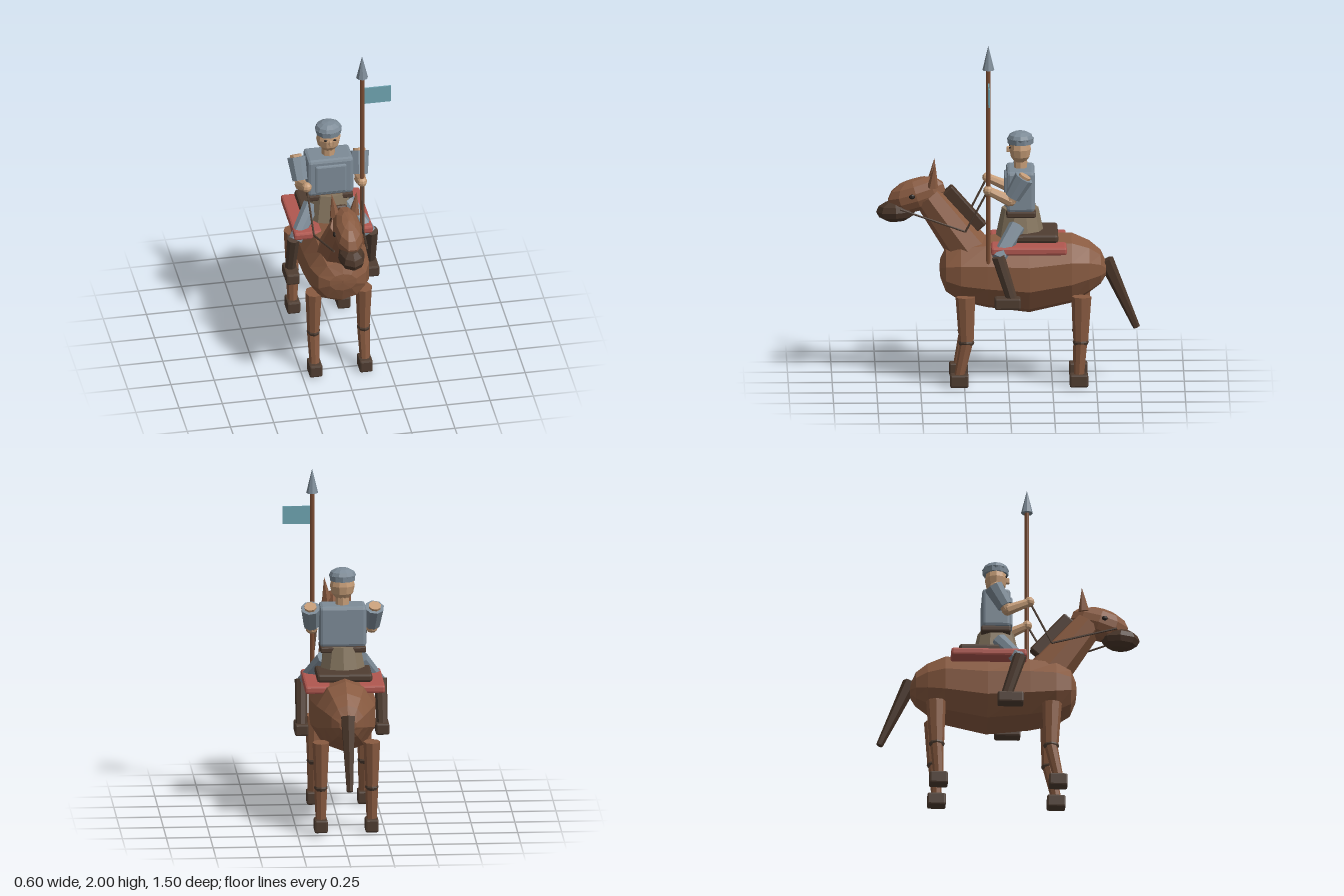
import * as THREE from 'three';
import { RoundedBoxGeometry } from 'three/addons/geometries/RoundedBoxGeometry.js';

const mat = (name, color) => {
  const m = new THREE.MeshStandardMaterial({ color });
  m.name = name;
  m.flatShading = true;
  return m;
};

export function createModel() {
  const coat = mat('chestnut coat', 0x885a40);
  const dark = mat('dark leather', 0x4f3d31);
  const hair = mat('dark mane', 0x4a3629);
  const steel = mat('steel', 0x7d8b97);
  const red = mat('red cloth', 0xb0574f);
  const skin = mat('skin', 0xc59c77);
  const tan = mat('tan cloth', 0x85755f);
  const wood = mat('lance wood', 0x7a4c32);
  const teal = mat('teal cloth', 0x6fa5b2);
  const black = mat('eye black', 0x28211d);
  teal.side = THREE.DoubleSide;

  const model = new THREE.Group();
  model.name = 'mountedLancer';
  // Horse and rider are symmetric about this group's own x = 0
  const core = new THREE.Group();
  core.name = 'horseAndRider';
  core.position.x = -0.03;
  model.add(core);

  const add = (name, geo, material, x = 0, y = 0, z = 0) => {
    const m = new THREE.Mesh(geo, material);
    m.name = name;
    m.position.set(x, y, z);
    core.add(m);
    return m;
  };
  // Box with a small chamfer
  const box = (name, material, w, h, d, x, y, z, bevel = 0.01) =>
    add(name, new RoundedBoxGeometry(w, h, d, 1, bevel), material, x, y, z);
  // Faceted ellipsoid
  const ball = (name, material, rx, ry, rz, x, y, z, seg = 8, rows = 6) =>
    add(name, new THREE.SphereGeometry(1, seg, rows).scale(rx, ry, rz), material, x, y, z);
  // Tapered prism running from a to b
  const beam = (name, material, a, b, ra, rb, sides = 8) => {
    const p = new THREE.Vector3(...a), q = new THREE.Vector3(...b);
    const dir = q.clone().sub(p);
    const m = add(name, new THREE.CylinderGeometry(rb, ra, dir.length(), sides), material);
    m.position.copy(p).add(q).multiplyScalar(0.5);
    m.quaternion.setFromUnitVectors(new THREE.Vector3(0, 1, 0), dir.normalize());
    return m;
  };
  // Skin over oval rings [z, bottom, top, halfWidth], front to back
  const loft = (rings, n) => {
    const pos = [], index = [];
    rings.forEach(([z, lo, hi, w], i) => {
      for (let j = 0; j < n; j++) {
        const t = (j / n) * Math.PI * 2;
        pos.push(Math.sin(t) * w, (lo + hi) / 2 + Math.cos(t) * (hi - lo) / 2, z);
        if (i === rings.length - 1) continue;
        const a = i * n + j, b = i * n + (j + 1) % n;
        index.push(a, b, a + n, b, b + n, a + n);
      }
    });
    const g = new THREE.BufferGeometry();
    g.setAttribute('position', new THREE.Float32BufferAttribute(pos, 3));
    g.setIndex(index);
    g.computeVertexNormals();
    return g;
  };

  // Horse trunk, neck and head
  add('horseBody', loft([
    [0.39, 0.66, 0.68, 0.005], [0.385, 0.61, 0.72, 0.08], [0.355, 0.53, 0.79, 0.145],
    [0.27, 0.47, 0.84, 0.18], [0.12, 0.435, 0.86, 0.19], [-0.12, 0.405, 0.865, 0.195],
    [-0.36, 0.46, 0.87, 0.175], [-0.46, 0.52, 0.825, 0.135], [-0.525, 0.57, 0.77, 0.095],
    [-0.555, 0.62, 0.7, 0.05], [-0.56, 0.65, 0.67, 0.005],
  ], 10), coat);
  beam('horseNeck', coat, [0, 0.76, 0.21], [0, 1.09, 0.455], 0.125, 0.088);
  ball('horseHead', coat, 0.085, 0.096, 0.175, 0, 1.095, 0.52, 10, 7).rotation.x = 0.3;
  ball('muzzle', hair, 0.077, 0.064, 0.112, 0, 1.0, 0.638, 8, 6).rotation.x = 0.05;
  const mane = box('mane', hair, 0.066, 0.3, 0.075, 0, 1.015, 0.25);
  mane.rotation.x = 0.72;
  beam('tail', hair, [0, 0.71, -0.555], [0, 0.315, -0.73], 0.044, 0.02, 6);

  for (const s of [-1, 1]) {
    const side = s > 0 ? 'left' : 'right';
    beam(side + 'Ear', coat, [s * 0.055, 1.15, 0.43], [s * 0.072, 1.287, 0.418], 0.032, 0.001, 6);
    ball(side + 'HorseEye', black, 0.01, 0.014, 0.018, s * 0.08, 1.1, 0.547);

    // Horse legs: [name, top z, knee z, hoof z]
    for (const [part, zt, zk, zh] of [['Front', 0.245, 0.24, 0.28], ['Hind', -0.415, -0.41, -0.4]]) {
      const x = s * 0.145, name = side + part;
      beam(name + 'UpperLeg', coat, [x, 0.53, zt], [x, 0.27, zk], 0.056, 0.042).scale.x = 0.85;
      ball(name + 'Knee', dark, 0.039, 0.03, 0.046, x, 0.265, zk);
      beam(name + 'LowerLeg', coat, [x, 0.26, zk], [x, 0.07, zh], 0.037, 0.029);
      box(name + 'Hoof', dark, 0.075, 0.075, 0.105, x, 0.0425, zh);
    }

    // Reins: bit to low point to hand
    beam(side + 'ReinFront', dark, [s * 0.095, 1.03, 0.615], [s * 0.142, 0.91, 0.245], 0.006, 0.006, 6);
    beam(side + 'ReinBack', dark, [s * 0.142, 0.91, 0.245], [s * 0.16, 1.15, 0.12], 0.006, 0.006, 6);

    // Rider arm
    beam(side + 'UpperArm', skin, [s * 0.184, 1.247, -0.095], [s * 0.172, 1.1, -0.01], 0.036, 0.032);
    beam(side + 'Sleeve', steel, [s * 0.182, 1.235, -0.088], [s * 0.173, 1.12, -0.022], 0.056, 0.046);
    ball(side + 'Elbow', skin, 0.034, 0.034, 0.034, s * 0.172, 1.1, -0.01);
    beam(side + 'Forearm', skin, [s * 0.172, 1.095, -0.015], [s * 0.16, 1.15, 0.105], 0.034, 0.025);
    ball(side + 'Hand', skin, 0.03, 0.03, 0.03, s * 0.16, 1.155, 0.115);

    // Rider leg
    beam(side + 'Thigh', steel, [s * 0.1, 0.93, -0.05], [s * 0.215, 0.77, 0.06], 0.05, 0.04);
    beam(side + 'Shin', dark, [s * 0.225, 0.785, 0.06], [s * 0.23, 0.53, -0.02], 0.038, 0.032);
    box(side + 'Boot', dark, 0.077, 0.067, 0.148, s * 0.23, 0.514, 0.006);

    ball(side + 'RiderEye', black, 0.01, 0.006, 0.006, s * 0.026, 1.373, -0.01);
  }

  // Tack
  box('saddleBlanket', red, 0.455, 0.046, 0.43, 0, 0.812, -0.115, 0.012);
  box('saddle', dark, 0.315, 0.05, 0.275, 0, 0.868, -0.145, 0.015);

  // Rider trunk
  beam('skirt', tan, [0, 0.86, -0.068], [0, 1.02, -0.068], 0.138, 0.104, 10);
  box('belt', dark, 0.26, 0.035, 0.168, 0, 1.003, -0.072, 0.008);
  box('torso', steel, 0.265, 0.235, 0.16, 0, 1.135, -0.07, 0.018);
  box('chestPlate', steel, 0.18, 0.18, 0.03, 0, 1.13, 0.008);

  // Rider head and cap
  beam('riderNeck', skin, [0, 1.24, -0.07], [0, 1.31, -0.07], 0.038, 0.038);
  ball('riderHead', skin, 0.071, 0.088, 0.064, 0, 1.362, -0.068, 10, 6);
  box('nose', skin, 0.018, 0.034, 0.024, 0, 1.358, -0.002, 0.005);
  beam('capBand', steel, [0, 1.393, -0.07], [0, 1.425, -0.07], 0.073, 0.076, 10);
  ball('capDome', steel, 0.078, 0.042, 0.074, 0, 1.423, -0.07, 10, 6);

  // Lance in the left hand
  beam('lanceShaft', wood, [0.16, 0.7, 0.115], [0.16, 1.87, 0.115], 0.013, 0.013);
  beam('lanceHead', steel, [0.16, 1.86, 0.115], [0.16, 2, 0.115], 0.034, 0.0005);
  add('pennant', new THREE.BoxGeometry(0.155, 0.104, 0.008), teal, 0.2505, 1.732, 0.113);

  return model;
}
